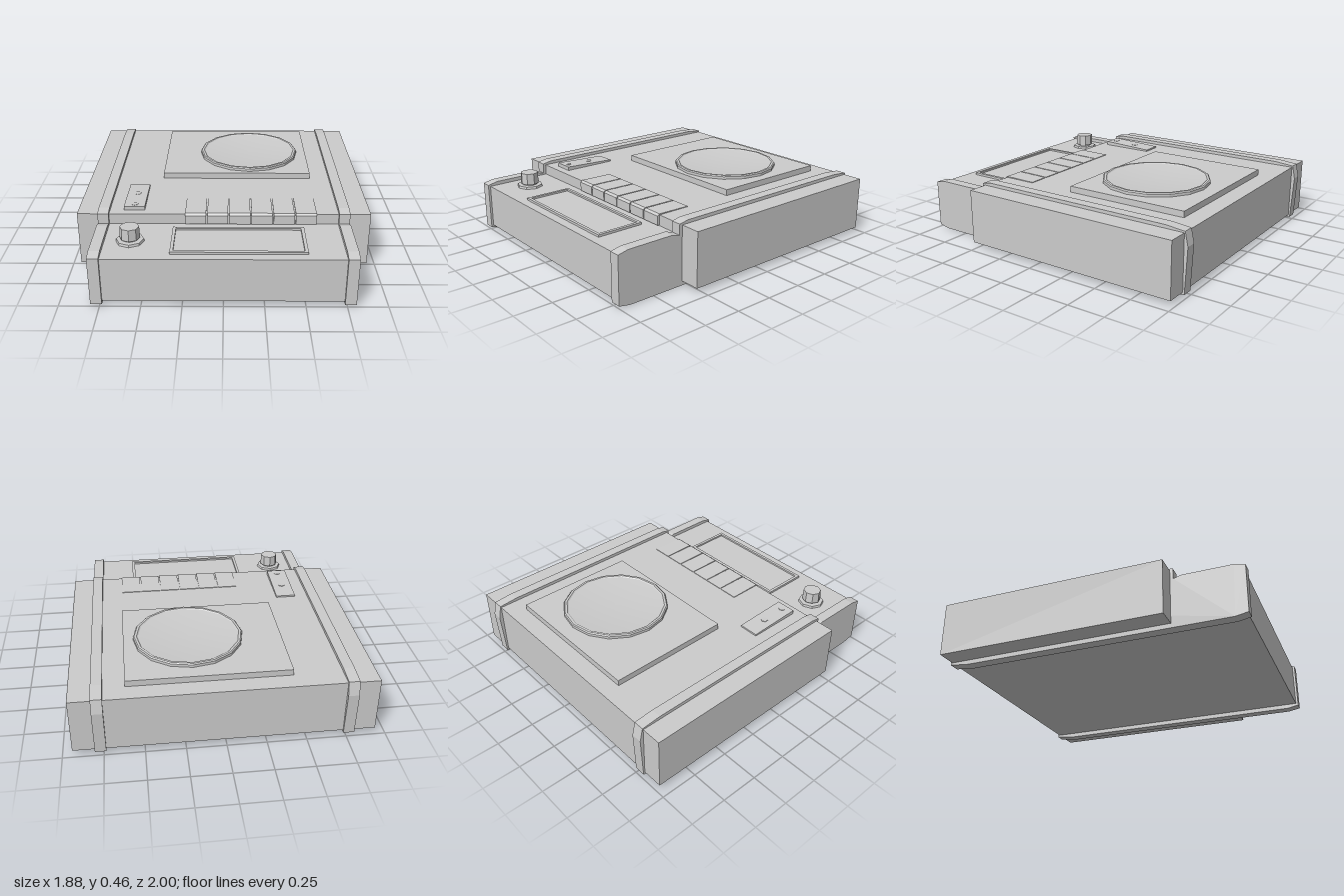
import * as THREE from 'three';

const material = new THREE.MeshStandardMaterial({ color: 0xcccccc, flatShading: true });
const smooth = new THREE.MeshStandardMaterial({ color: 0xcccccc, side: THREE.DoubleSide });

export function createModel() {
  const model = new THREE.Group();

  const add = (name, geometry, mat = material) => {
    const mesh = new THREE.Mesh(geometry, mat);
    mesh.name = name;
    model.add(mesh);
    return mesh;
  };
  // Box given by its limits on each axis
  const box = (name, x0, x1, y0, y1, z0, z1) => {
    const g = new THREE.BoxGeometry(x1 - x0, y1 - y0, z1 - z0);
    g.translate((x0 + x1) / 2, (y0 + y1) / 2, (z0 + z1) / 2);
    return add(name, g);
  };
  // Side profile of [z, y] points, extruded from x0 to x1
  const profile = (name, points, x0, x1) => {
    const shape = new THREE.Shape(points.map(([z, y]) => new THREE.Vector2(-z, y)));
    const g = new THREE.ExtrudeGeometry(shape, { depth: x1 - x0, bevelEnabled: false });
    g.rotateY(Math.PI / 2);
    g.translate(x0, 0, 0);
    return add(name, g);
  };

  // Main housing and the lower control ledge in front
  box('housing', -0.94, 0.94, 0.03, 0.39, -0.975, 0.535);
  box('controlLedge', -0.8, 0.8, 0.03, 0.32, 0.5, 0.985);

  // Raised rails wrapping the whole case
  const railPoints = [
    [1, 0.015], [1, 0.33], [0.93, 0.345], [0.61, 0.345], [0.555, 0.33], [0.555, 0.4],
    [0.49, 0.412], [-0.85, 0.412], [-0.98, 0.4], [-1, 0.31], [-0.985, 0.015],
    [-0.85, 0], [0.92, 0],
  ];
  profile('leftRail', railPoints, 0.735, 0.805);
  profile('rightRail', railPoints, -0.805, -0.735);

  // Plinth and dished disc with a raised rim
  box('discPlinth', -0.425, 0.6, 0.38, 0.43, -0.855, -0.02);
  const rim = [[0.355, 0.42], [0.355, 0.448], [0.348, 0.455], [0.333, 0.455], [0.325, 0.449]];
  const disc = add('discRim', new THREE.LatheGeometry(
    rim.map(([r, y]) => new THREE.Vector2(r, y)), 16), new THREE.MeshStandardMaterial({
    color: 0xcccccc, flatShading: true, side: THREE.DoubleSide }));
  const dishPoints = [];
  for (let i = 0; i <= 6; i++) {
    const t = 1 - i / 6;
    dishPoints.push(new THREE.Vector2(0.325 * t, 0.432 + 0.017 * t * t));
  }
  const dish = add('discDish', new THREE.LatheGeometry(dishPoints, 16), smooth);
  for (const part of [disc, dish]) part.position.set(0.18, 0, -0.405);

  // Row of six keys overhanging the step
  const pitch = 0.1415;
  for (let i = 0; i < 6; i++) {
    const x = -0.247 + i * pitch;
    profile('key' + (i + 1),
      [[0.55, 0.325], [0.55, 0.385], [0.535, 0.397], [0.31, 0.394], [0.31, 0.325]],
      x, x + pitch - 0.008);
  }

  // Tilted switch plate with two small studs
  profile('switchPlate', [[0.48, 0.38], [0.48, 0.416], [0.112, 0.401], [0.112, 0.38]], -0.645, -0.51);
  for (const [z, y] of [[0.265, 0.405], [0.44, 0.412]]) {
    const stud = add('switchStud', new THREE.CylinderGeometry(0.024, 0.024, 0.01, 6));
    stud.position.set(-0.577, y, z);
  }

  // Display frame around a recessed screen
  const frame = new THREE.Shape([[-0.322, -0.925], [0.508, -0.925], [0.508, -0.605], [-0.322, -0.605]]
    .map(p => new THREE.Vector2(...p)));
  frame.holes.push(new THREE.Path([[-0.302, -0.905], [-0.302, -0.625], [0.487, -0.625], [0.487, -0.905]]
    .map(p => new THREE.Vector2(...p))));
  const frameGeometry = new THREE.ExtrudeGeometry(frame, { depth: 0.02, bevelEnabled: false });
  frameGeometry.rotateX(-Math.PI / 2);
  frameGeometry.translate(0, 0.315, 0);
  add('displayFrame', frameGeometry);
  box('screen', -0.302, 0.487, 0.31, 0.323, 0.625, 0.905);

  // Octagonal rotary knob on a collar
  const turn = (name, top, bottom, y0, y1) => {
    const mesh = add(name, new THREE.CylinderGeometry(top, bottom, y1 - y0, 8));
    mesh.position.set(-0.575, (y0 + y1) / 2, 0.76);
  };
  turn('knobCollar', 0.085, 0.09, 0.315, 0.335);
  turn('knobStem', 0.05, 0.05, 0.33, 0.35);
  turn('knob', 0.06, 0.063, 0.345, 0.42);

  return model;
}
